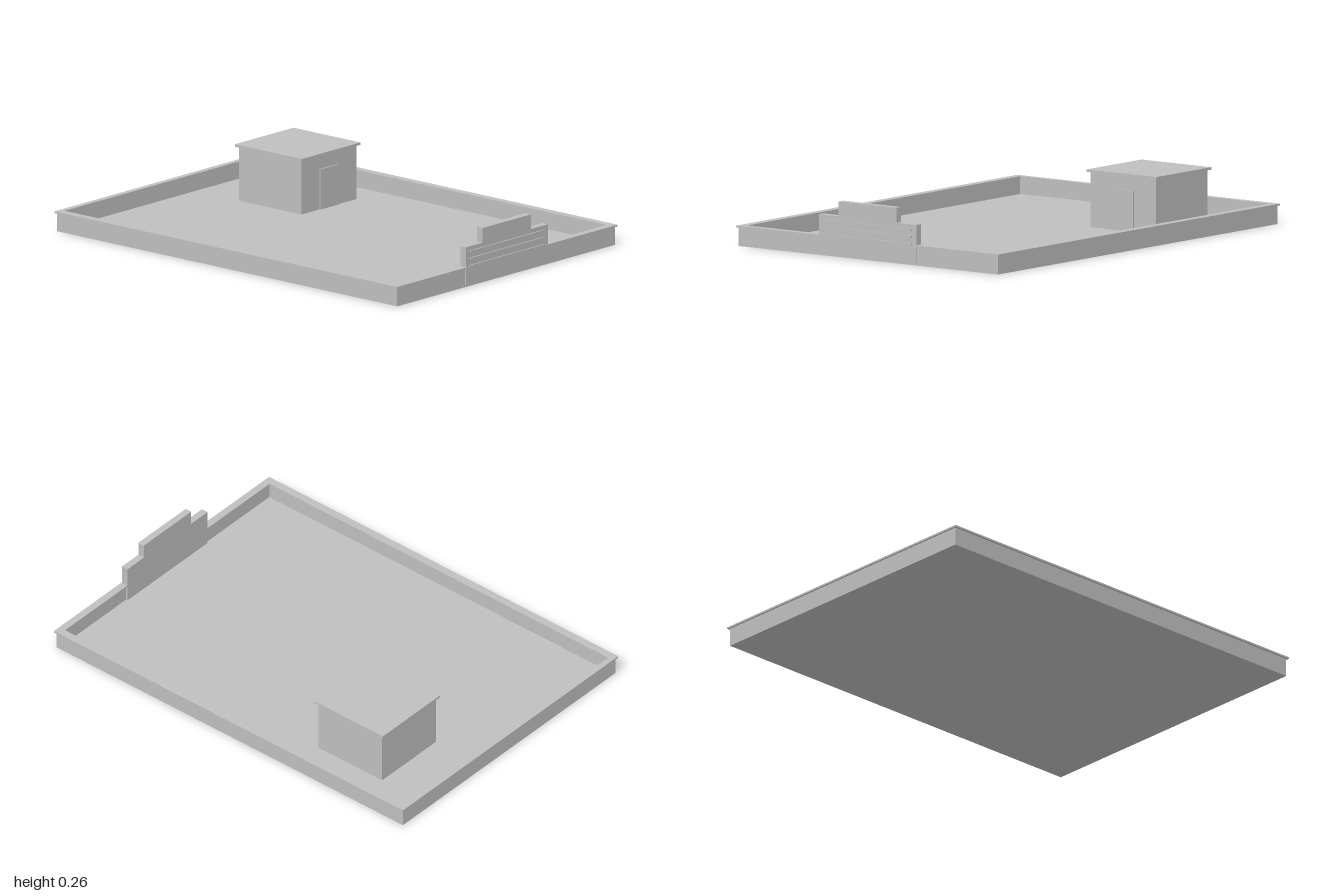
import * as THREE from 'three';

export function createModel() {
  const group = new THREE.Group();
  const concrete = new THREE.MeshStandardMaterial({ color: 0xbfbfbf });
  concrete.name = 'pale grey concrete';

  function add(name, geometry) {
    const mesh = new THREE.Mesh(geometry, concrete);
    mesh.name = name;
    group.add(mesh);
    return mesh;
  }

  // Box given by its limits on each axis
  function block(name, [x0, x1], [y0, y1], [z0, z1]) {
    const mesh = add(name, new THREE.BoxGeometry(x1 - x0, y1 - y0, z1 - z0));
    mesh.position.set((x0 + x1) / 2, (y0 + y1) / 2, (z0 + z1) / 2);
  }

  function rectangle(path, x, z0, z1) {
    // shape y becomes -z once the frame is laid flat
    path.moveTo(-x, -z1).lineTo(x, -z1).lineTo(x, -z0).lineTo(-x, -z0).closePath();
    return path;
  }

  // Rectangular ring lying flat between two heights
  function frame(name, outer, inner, y0, y1) {
    const shape = rectangle(new THREE.Shape(), ...outer);
    shape.holes.push(rectangle(new THREE.Path(), ...inner));
    const geometry = new THREE.ExtrudeGeometry(shape, { depth: y1 - y0, bevelEnabled: false });
    geometry.rotateX(-Math.PI / 2).translate(0, y0, 0);
    add(name, geometry);
  }

  // Roof deck with its parapet and overhanging coping
  block('roofDeck', [-0.715, 0.715], [0, 0.01], [-0.99, 0.988]);
  frame('parapetWall', [0.718, -0.992, 0.99], [0.697, -0.98, 0.97], 0, 0.082);
  frame('parapetCoping', [0.727, -1, 0.997], [0.69, -0.973, 0.963], 0.082, 0.09);

  // Stepped front pediment, rising from the deck through the parapet
  const outline = new THREE.Shape();
  outline.moveTo(-0.27, 0.01).lineTo(0.27, 0.01).lineTo(0.27, 0.18).lineTo(0.16, 0.18)
    .lineTo(0.16, 0.246).lineTo(-0.16, 0.246).lineTo(-0.16, 0.18).lineTo(-0.27, 0.18).closePath();
  const pediment = new THREE.ExtrudeGeometry(outline, { depth: 0.032, bevelEnabled: false });
  add('steppedPediment', pediment.translate(0, 0, 0.962));

  // Raised bands across the pediment
  for (const y of [0.087, 0.12, 0.152]) {
    block('pedimentBand', [-0.245, 0.245], [y, y + 0.009], [0.99, 1]);
  }

  // Rooftop stair house
  block('stairHouseWalls', [0.178, 0.54], [0.005, 0.254], [-0.723, -0.36]);
  block('stairHouseRoof', [0.165, 0.552], [0.254, 0.265], [-0.737, -0.347]);
  block('stairHouseDoor', [0.298, 0.418], [0.01, 0.192], [-0.361, -0.354]);

  return group;
}
